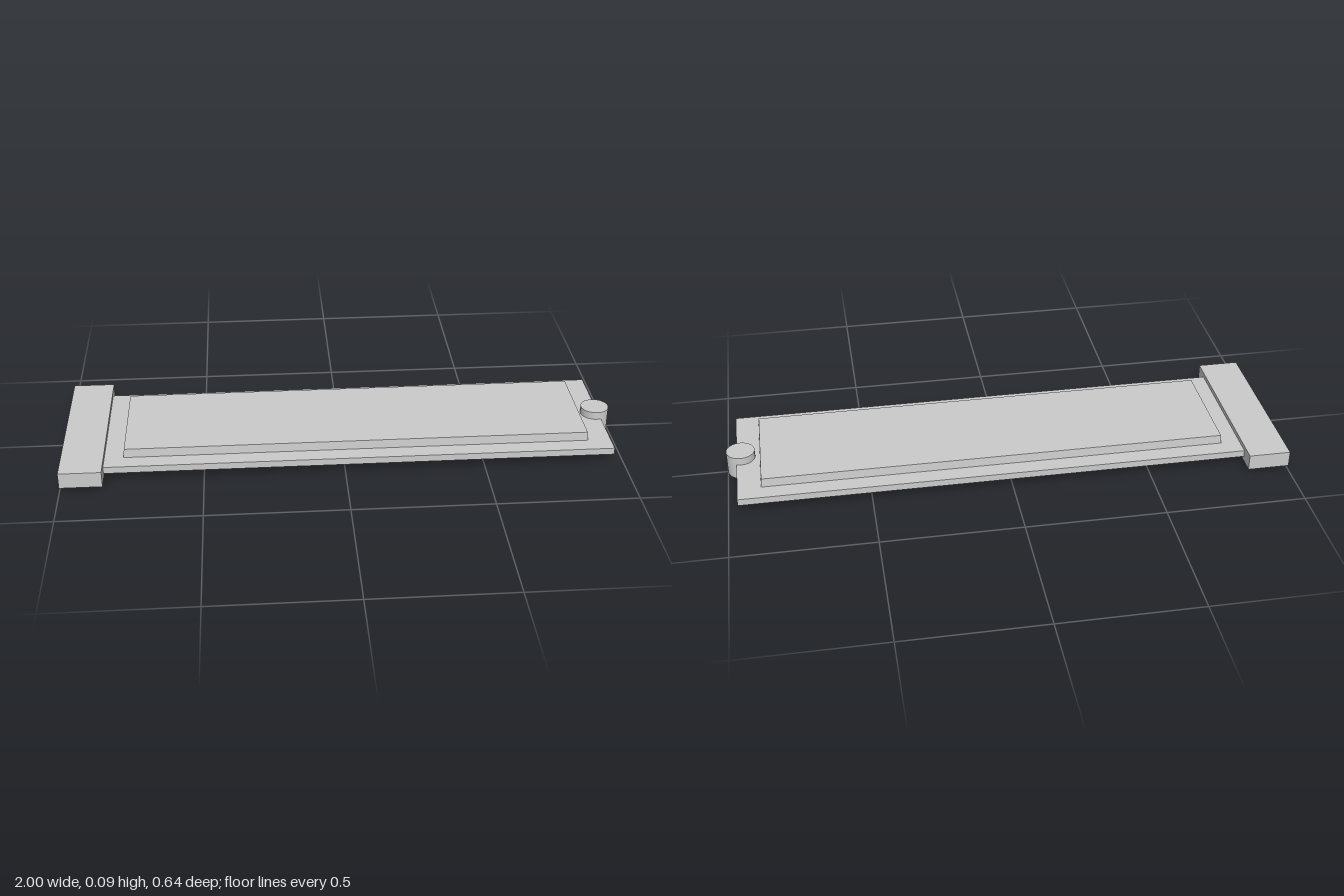
import * as THREE from 'three';

const material = new THREE.MeshStandardMaterial({ color: 0xcccccc });

// Box given by its limits in x and y and its half depth in z
function slab(name, x0, x1, y0, y1, halfZ) {
  const geometry = new THREE.BoxGeometry(x1 - x0, y1 - y0, halfZ * 2);
  const mesh = new THREE.Mesh(geometry, material);
  mesh.name = name;
  mesh.position.set((x0 + x1) / 2, (y0 + y1) / 2, 0);
  return mesh;
}

// Pulls the upper corners of a box inwards by a fixed amount
function taperTop(mesh, inset) {
  const p = mesh.geometry.attributes.position;
  for (let i = 0; i < p.count; i++) {
    if (p.getY(i) > 0) {
      p.setX(i, p.getX(i) - Math.sign(p.getX(i)) * inset);
      p.setZ(i, p.getZ(i) - Math.sign(p.getZ(i)) * inset);
    }
  }
  mesh.geometry.computeVertexNormals();
  return mesh;
}

export function createModel() {
  const model = new THREE.Group();
  model.name = 'panelAssembly';

  // Thin base plate, raised panel and wide end bar
  model.add(slab('basePlate', -0.86, 0.965, 0.033, 0.058, 0.26));
  model.add(taperTop(slab('raisedPanel', -0.782, 0.882, 0.058, 0.09, 0.198), 0.003));
  model.add(slab('endBar', -1, -0.85, 0.017, 0.075, 0.32));

  // Round peg through the far end of the plate
  const peg = new THREE.Mesh(new THREE.CylinderGeometry(0.051, 0.051, 0.086, 32), material);
  peg.name = 'peg';
  peg.position.set(0.949, 0.043, 0);
  model.add(peg);

  return model;
}
